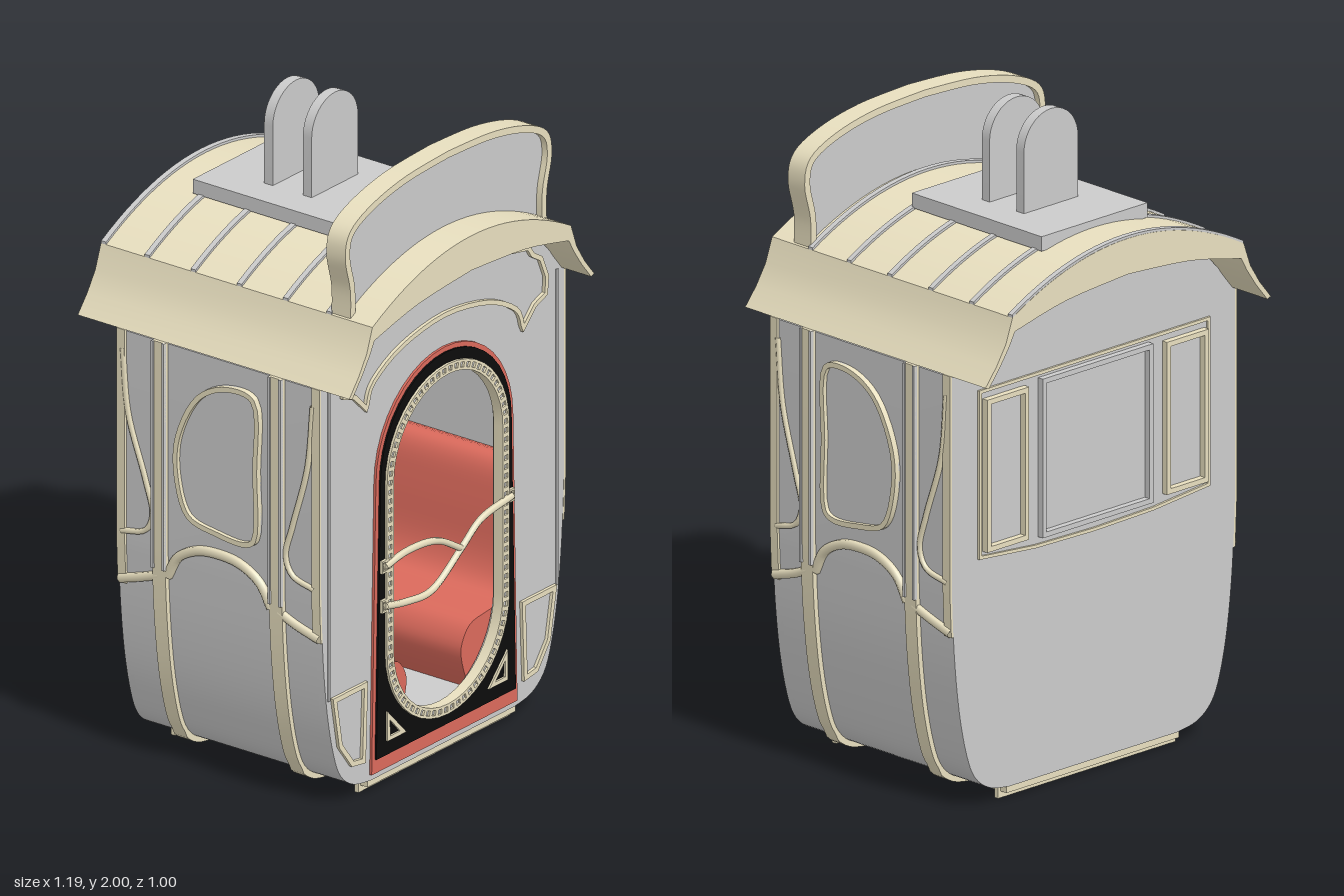
import * as THREE from 'three';
import { mergeGeometries, toCreasedNormals } from 'three/addons/utils/BufferGeometryUtils.js';

const mat = (color) => new THREE.MeshStandardMaterial({ color, side: THREE.DoubleSide });
const V = (a) => a.map(([x, y]) => new THREE.Vector2(x, y));
const smooth = (a, n = 24) => new THREE.SplineCurve(V(a)).getPoints(n);
const ccw = (p) => (THREE.ShapeUtils.isClockWise(p) ? p.slice().reverse() : p);
// full symmetric outline from the +x half
const mirrored = (half) => [...half, ...half.filter((p) => p.x > 1e-4).reverse().map((p) => new THREE.Vector2(-p.x, p.y))];

// mitred offset of a closed outline (positive = inwards)
function inset(points, d) {
  const p = ccw(points), n = p.length;
  const normal = (a, b) => new THREE.Vector2(a.y - b.y, b.x - a.x).normalize();
  return p.map((q, i) => {
    const n1 = normal(p[(i + n - 1) % n], q), n2 = normal(q, p[(i + 1) % n]);
    return n1.clone().add(n2).multiplyScalar(d / Math.max(0.3, 1 + n1.dot(n2))).add(q);
  });
}

// plate between z0 and z1, with an optional hole
function plate(points, z0, z1, hole) {
  const shape = new THREE.Shape(ccw(points));
  if (hole) shape.holes.push(new THREE.Path(hole));
  const geo = new THREE.ExtrudeGeometry(shape, { depth: z1 - z0, bevelEnabled: false });
  return toCreasedNormals(geo.translate(0, 0, z0), 0.5);
}
const frame = (points, w, z0, z1) => plate(points, z0, z1, inset(points, w));
const rect = (x0, x1, y0, y1) => V([[x0, y0], [x1, y0], [x1, y1], [x0, y1]]);
const arc = (cx, cy, r, a0, a1, n = 20) => Array.from({ length: n + 1 }, (_, i) => {
  const a = a0 + (a1 - a0) * i / n;
  return new THREE.Vector2(cx + r * Math.cos(a), cy + r * Math.sin(a));
});
const capsule = (r, y0, y1) => [...arc(0, y1 - r, r, 0, Math.PI), ...arc(0, y0 + r, r, Math.PI, 2 * Math.PI)];
const arch = (wBottom, r, y0, y1) => [new THREE.Vector2(wBottom, y0), ...arc(0, y1 - r, r, 0, Math.PI), new THREE.Vector2(-wBottom, y0)];
const tube = (pts, r, closed = false) => new THREE.TubeGeometry(
  new THREE.CatmullRomCurve3(pts.map((p) => new THREE.Vector3(...p)), closed), 40, r, 6, closed);

export function createModel() {
  const model = new THREE.Group();
  const grey = mat(0xcccccc), cream = mat(0xe8dfbf), red = mat(0xdb6a5c), black = mat(0x0c0c0c);
  const add = (name, geo, material) => {
    const m = new THREE.Mesh(geo, material);
    m.name = name;
    model.add(m);
    return m;
  };

  // cabin shell
  const flank = smooth([[0.34, 0.04], [0.42, 0.055], [0.48, 0.1], [0.515, 0.18], [0.545, 0.32], [0.565, 0.5], [0.575, 0.7]]);
  const outline = mirrored([...flank, ...V([[0.575, 1.355], [0.45, 1.49], [0.25, 1.55], [0, 1.57]])]);
  const sideX = (y) => {
    const i = flank.findIndex((p) => p.y >= y);
    if (i < 1) return 0.575;
    const a = flank[i - 1], b = flank[i];
    return a.x + (b.x - a.x) * (y - a.y) / (b.y - a.y);
  };
  const opening = capsule(0.275, 0.155, 1.235);
  add('sideWalls', frame(outline, 0.025, -0.355, 0.39), grey);
  add('backWall', plate(outline, -0.355, -0.33), grey);
  add('frontWall', plate(outline, 0.365, 0.392, opening), grey);
  add('floor', plate(rect(-0.47, 0.47, 0.13, 0.15), -0.33, 0.365), grey);

  // base tray with end lips
  add('basePanel', new THREE.BoxGeometry(0.7, 0.025, 0.74).translate(0, 0.033, 0.018), cream);
  for (const z of [-0.35, 0.385]) add('baseLip', new THREE.BoxGeometry(0.72, 0.042, 0.015).translate(0, 0.021, z - 0.03 * Math.sign(z)), cream);

  // ribs wrapping the sides
  const ribLine = [...flank, new THREE.Vector2(0.575, 1.36)];
  const ribShape = (line, t) => [...line, ...line.map((p) => new THREE.Vector2(p.x + t, p.y - (p.y < 0.1 ? t * 0.7 : 0))).reverse()];
  for (const s of [1, -1]) {
    for (const z of [0.235, -0.195]) {
      add('sideRib', plate(ribShape(ribLine, 0.016).map((p) => new THREE.Vector2(s * p.x, p.y)), z - 0.024, z + 0.024), cream);
      for (const e of [-0.02, 0.02]) add('ribEdge', new THREE.BoxGeometry(0.012, 0.72, 0.008).translate(s * 0.59, 1, z + e), grey);
    }
    for (const z of [0.378, -0.34]) {
      const upper = ribLine.filter((p) => p.y > 0.54);
      add('cornerStrip', plate(ribShape(upper, 0.008).map((p) => new THREE.Vector2(s * p.x, p.y)), z - 0.015, z + 0.015), cream);
    }
    // waist trim and curved quarter trims, laid on the flank
    const onSide = (pts) => pts.map(([z, y]) => [s * (sideX(y) + 0.003), y, z]);
    add('waistTrim', tube(onSide([[0.21, 0.62], [0.17, 0.69], [0.1, 0.73], [0.02, 0.74], [-0.06, 0.73], [-0.13, 0.69], [-0.17, 0.62]]), 0.016), cream);
    add('frontWaistTrim', tube(onSide([[0.24, 0.615], [0.3, 0.59], [0.385, 0.565]]), 0.015), cream);
    add('rearWaistTrim', tube(onSide([[-0.2, 0.615], [-0.27, 0.59], [-0.35, 0.565]]), 0.015), cream);
    add('frontQuarterTrim', tube(onSide([[0.365, 1.3], [0.345, 1.1], [0.29, 0.9], [0.265, 0.8], [0.29, 0.745], [0.37, 0.72]]), 0.009), cream);
    add('rearQuarterTrim', tube(onSide([[-0.335, 1.3], [-0.315, 1.1], [-0.25, 0.9], [-0.225, 0.8], [-0.25, 0.745], [-0.34, 0.72]]), 0.009), cream);
    // rounded side window
    const win = new THREE.CatmullRomCurve3([[0.165, 0.82], [0.17, 1.04], [0.16, 1.27], [0.06, 1.285], [-0.05, 1.23], [-0.13, 1.08], [-0.135, 0.95], [-0.09, 0.83], [0.02, 0.8], [0.13, 0.795]]
      .map(([z, y]) => new THREE.Vector3(-z, y, 0)), true).getPoints(50).slice(0, -1).map((p) => new THREE.Vector2(p.x, p.y));
    add('sideWindowFrame', frame(win, 0.016, -0.016, 0.016).rotateY(Math.PI / 2), cream).position.x = s * 0.578;
    add('sideWindowPane', plate(win, -0.005, 0.005).rotateY(Math.PI / 2), grey).position.x = s * 0.576;

    // lower front panel
    const panel = V([[0.375, 0.11], [0.44, 0.12], [0.5, 0.2], [0.53, 0.365], [0.365, 0.365]]).map((p) => new THREE.Vector2(s * p.x, p.y));
    add('frontPanelFrame', frame(panel, 0.016, 0.39, 0.402), cream);
    add('frontEdgeLine', new THREE.BoxGeometry(0.008, 1.0, 0.008).translate(s * 0.54, 0.86, 0.393), grey);
    // triangular corner ornament of the door
    const tri = V([[0.285, 0.15], [0.285, 0.245], [0.195, 0.15]]).map((p) => new THREE.Vector2(s * p.x, p.y));
    add('doorCornerTrim', frame(tri, 0.013, 0.4, 0.412), cream);
    // bench with backrest
    const seat = smooth([[0.17, 0.15], [0.14, 0.22], [0.13, 0.29], [0.17, 0.35], [0.25, 0.365], [0.35, 0.375], [0.4, 0.45], [0.42, 0.6], [0.44, 0.71], [0.48, 0.75], [0.545, 0.73]], 40);
    add('bench', plate([...seat, ...V([[0.53, 0.4], [0.48, 0.15]])].map((p) => new THREE.Vector2(s * p.x, p.y)), -0.329, 0.36), red);
  }

  // front crest trim above the door
  const crest = mirrored(V([[0.37, 1.22], [0.43, 1.28], [0.485, 1.3], [0.49, 1.36], [0.46, 1.43], [0.42, 1.455], [0.4, 1.485], [0.25, 1.515], [0, 1.53]]));
  const crestLower = smooth([[-0.36, 1.24], [-0.33, 1.3], [-0.2, 1.365], [0, 1.395], [0.2, 1.365], [0.33, 1.3], [0.36, 1.24]]);
  add('crestTrim', frame([...crest, ...crestLower], 0.015, 0.39, 0.403), cream);

  // doorway
  add('doorSurround', plate(arch(0.345, 0.325, 0.06, 1.3), 0.385, 0.4, opening), red);
  add('doorPanel', plate(arch(0.33, 0.31, 0.105, 1.285), 0.385, 0.406, opening), black);
  add('doorRing', frame(capsule(0.29, 0.14, 1.25), 0.008, 0.38, 0.414), cream);
  add('doorInnerRing', frame(capsule(0.266, 0.164, 1.226), 0.008, 0.38, 0.414), cream);
  add('doorRingBed', frame(capsule(0.288, 0.142, 1.248), 0.026, 0.38, 0.407), grey);
  const path = new THREE.Shape(capsule(0.274, 0.156, 1.234)).closePath();
  const teeth = path.getSpacedPoints(96).slice(0, -1).map((p) => {
    const cy = THREE.MathUtils.clamp(p.y, 0.43, 0.96);
    return new THREE.BoxGeometry(0.028, 0.013, 0.012).rotateZ(Math.atan2(p.y - cy, p.x)).translate(p.x, p.y, 0.408);
  });
  add('doorRingTeeth', mergeGeometries(teeth), cream);

  // safety bar of two merging curves
  add('upperBar', tube([[-0.3, 0.71, 0.415], [-0.2, 0.725, 0.415], [-0.06, 0.71, 0.415], [0.06, 0.645, 0.415]], 0.011), cream);
  add('lowerBar', tube([[-0.3, 0.585, 0.415], [-0.2, 0.565, 0.415], [-0.08, 0.56, 0.415], [0.06, 0.645, 0.415], [0.15, 0.705, 0.415], [0.3, 0.73, 0.415]], 0.011), cream);
  for (const [x, y] of [[-0.302, 0.71], [-0.302, 0.585], [0.302, 0.73]])
    add('barBracket', frame(rect(x - 0.012, x + 0.012, y - 0.02, y + 0.02), 0.006, 0.4, 0.415), cream);

  // back windows
  add('rearWindowSurround', frame(V([[-0.47, 0.77], [-0.24, 0.75], [0, 0.745], [0.24, 0.75], [0.47, 0.77], [0.47, 1.29], [-0.47, 1.29]]), 0.01, -0.362, -0.35), cream);
  for (const [x0, x1, y0, y1] of [[-0.45, -0.28, 0.79, 1.26], [-0.225, 0.225, 0.78, 1.27], [0.28, 0.45, 0.79, 1.26]]) {
    add('rearWindowFrame', frame(rect(x0, x1, y0, y1), 0.016, -0.375, -0.35), x0 < -0.25 || x0 > 0 ? cream : grey);
    add('rearWindowInside', frame(rect(x0, x1, y0, y1), 0.01, -0.332, -0.325), grey);
  }

  // arched roof with flared eaves
  const roofY = (x) => 1.68 - 0.13 * (x / 0.47) ** 2;
  const roofArch = Array.from({ length: 13 }, (_, i) => new THREE.Vector2(0.47 * (1 - i / 12), roofY(0.47 * (1 - i / 12))));
  const top = mirrored([...V([[0.58, 1.36], [0.535, 1.415], [0.497, 1.475]]), ...roofArch]);
  const under = mirrored([...V([[0.565, 1.355], [0.52, 1.41], [0.482, 1.465], [0.46, 1.505]]), ...smooth([[0.44, 1.51], [0.25, 1.55], [0, 1.57]], 8)]);
  add('roof', plate([...top, ...under.reverse()], -0.5, 0.5), cream);
  const strip = mirrored(roofArch);
  for (const z of [-0.49, -0.33, -0.16, 0.01, 0.18, 0.34])
    add('roofSeam', plate([...strip, ...strip.map((p) => new THREE.Vector2(p.x, p.y + 0.008)).reverse()], z - 0.009, z + 0.009), grey);

  // raised front board
  const board = mirrored(smooth([[0.465, 1.53], [0.465, 1.64], [0.489, 1.75], [0.465, 1.83], [0.36, 1.882], [0.2, 1.915], [0, 1.926]], 30));
  add('boardRim', frame(board, 0.022, 0.345, 0.415), cream);
  add('boardPanel', plate(inset(board, 0.01), 0.365, 0.395), grey);

  // hanger plate and lugs
  add('hangerPlate', new THREE.BoxGeometry(0.43, 0.045, 0.54).translate(0, 1.68, -0.09), grey);
  for (const z of [-0.02, -0.163]) add('hangerLug', plate(arch(0.11, 0.11, 1.69, 2), z - 0.016, z + 0.016), grey);
  return model;
}
